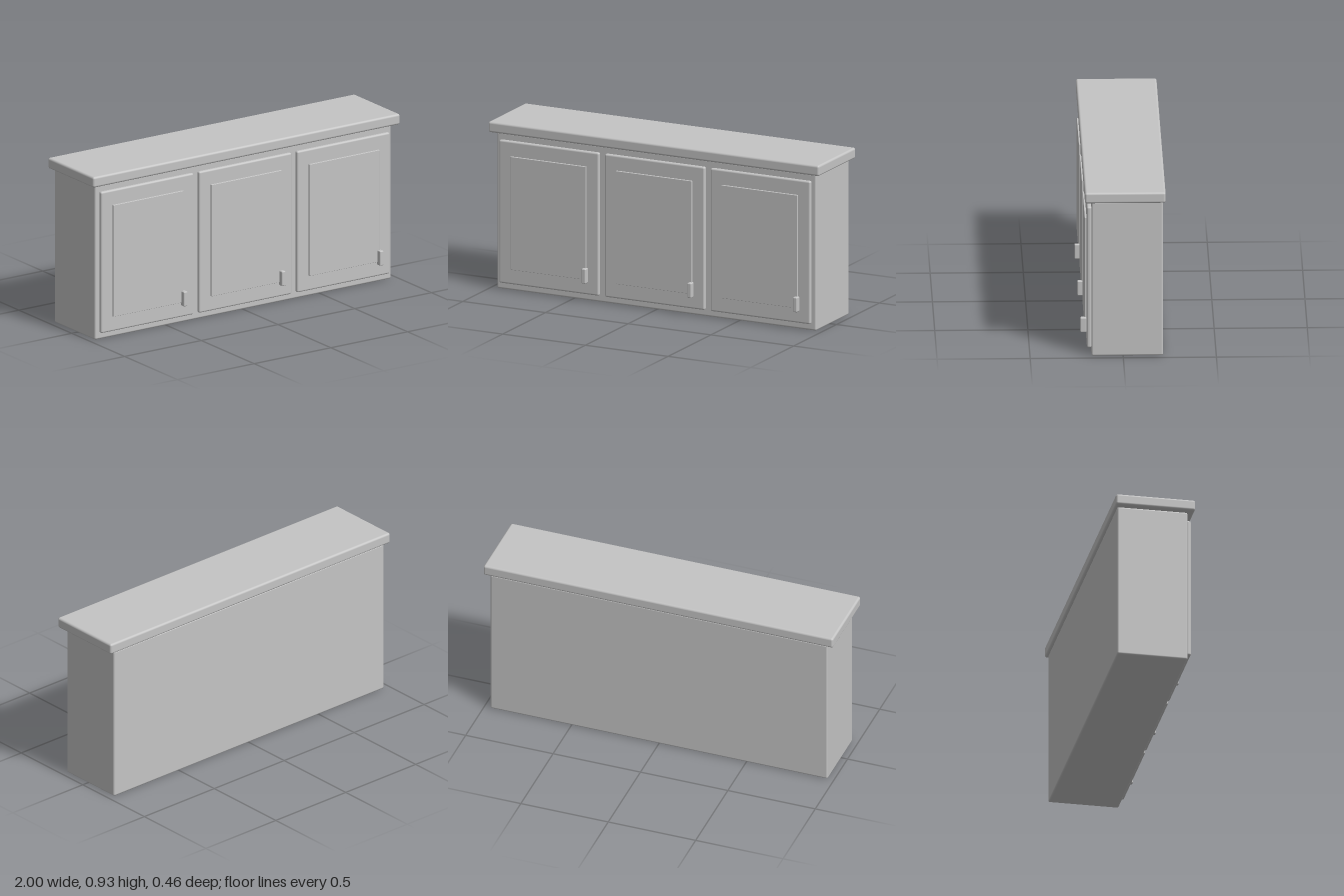
import * as THREE from 'three';
import { RoundedBoxGeometry } from 'three/addons/geometries/RoundedBoxGeometry.js';

export function createModel() {
  const model = new THREE.Group();
  model.name = 'cabinet';
  const paint = new THREE.MeshStandardMaterial({ color: 0xc4c4c4 });
  paint.name = 'light grey paint';

  // Rounded block given by its extents on each axis
  function block(name, [x0, x1], [y0, y1], [z0, z1], radius, parent = model) {
    const geometry = new RoundedBoxGeometry(x1 - x0, y1 - y0, z1 - z0, 3, radius);
    const mesh = new THREE.Mesh(geometry, paint);
    mesh.name = name;
    mesh.position.set((x0 + x1) / 2, (y0 + y1) / 2, (z0 + z1) / 2);
    parent.add(mesh);
  }

  // Body and overhanging worktop
  block('carcass', [-0.965, 0.965], [0, 0.87], [-0.215, 0.17], 0.01);
  block('worktop', [-1, 1], [0.87, 0.93], [-0.228, 0.206], 0.012);

  // Three equal doors, each with a raised panel and an upright handle
  for (let i = -1; i <= 1; i++) {
    const door = new THREE.Group();
    door.name = ['rightDoor', 'middleDoor', 'leftDoor'][i + 1];
    door.position.x = i * 0.639;
    model.add(door);
    block('doorFrame', [-0.302, 0.302], [0.038, 0.833], [0.169, 0.194], 0.01, door);
    block('doorPanel', [-0.229, 0.229], [0.122, 0.75], [0.184, 0.204], 0.002, door);
    block('handle', [0.214, 0.239], [0.105, 0.188], [0.194, 0.228], 0.006, door);
  }
  return model;
}
